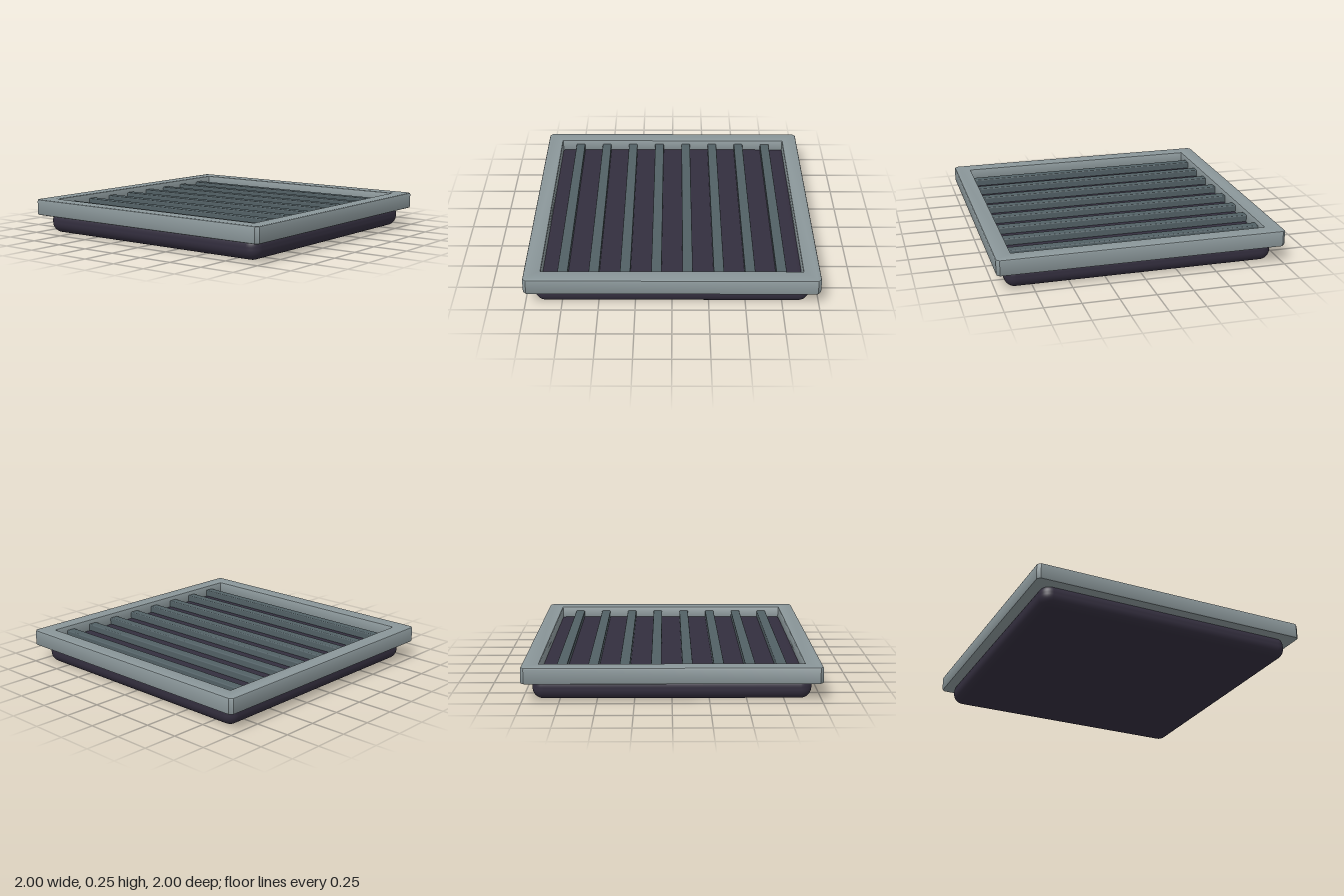
import * as THREE from 'three';
import { RoundedBoxGeometry } from 'three/addons/geometries/RoundedBoxGeometry.js';
import { toCreasedNormals } from 'three/addons/utils/BufferGeometryUtils.js';

const paint = (color) => new THREE.MeshStandardMaterial({ color });

function addMesh(group, name, geometry, material, x, y, z) {
  const mesh = new THREE.Mesh(geometry, material);
  mesh.name = name;
  mesh.position.set(x, y, z);
  group.add(mesh);
}

// Square outline with cut corners
function cutSquare(target, half, cut) {
  const a = half, b = half - cut;
  target.setFromPoints([
    [b, -a], [a, -b], [a, b], [b, a], [-b, a], [-a, b], [-a, -b], [-b, -a],
  ].map(([x, y]) => new THREE.Vector2(x, y)));
  target.closePath();
  return target;
}

export function createModel() {
  const group = new THREE.Group();
  group.name = 'floorGrate';

  // Dark rounded tray under the grate
  addMesh(group, 'tray', new RoundedBoxGeometry(1.87, 0.165, 1.87, 5, 0.075),
    paint(0x332e3e), 0, 0.0825, 0);

  // Square rim with a square opening and softened edges
  const bottom = 0.13, top = 0.245, bevel = 0.012, inner = 0.885;
  const outline = cutSquare(new THREE.Shape(), 1, 0.022);
  const hole = new THREE.Path().setFromPoints([
    [-inner, -inner], [-inner, inner], [inner, inner], [inner, -inner],
  ].map(([x, y]) => new THREE.Vector2(x, y)));
  hole.closePath();
  outline.holes.push(hole);
  const rim = new THREE.ExtrudeGeometry(outline, {
    depth: top - bottom - 2 * bevel,
    bevelThickness: bevel,
    bevelSize: bevel,
    bevelOffset: -bevel,
    bevelSegments: 2,
  });
  rim.rotateX(-Math.PI / 2);
  addMesh(group, 'rim', toCreasedNormals(rim, 0.5), paint(0x8a9699), 0, bottom + bevel, 0);

  // Eight parallel slats running front to back
  const slat = new RoundedBoxGeometry(0.07, 0.08, 1.8, 2, 0.008);
  const slatMaterial = paint(0x526065);
  for (let i = 0; i < 8; i++) {
    addMesh(group, 'slat' + (i + 1), slat, slatMaterial, (i - 3.5) * 0.2125, 0.172, 0);
  }

  return group;
}
